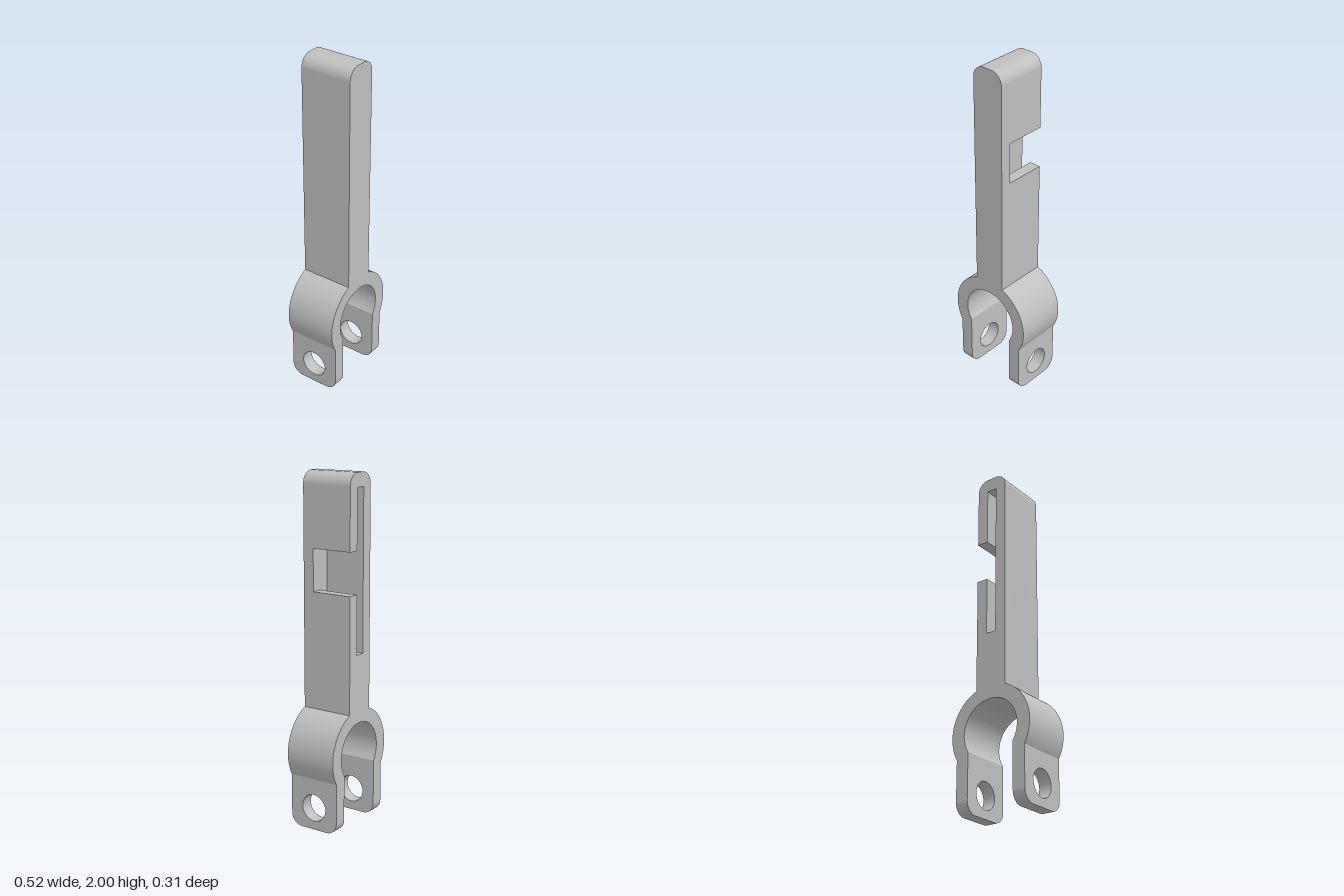
import * as THREE from 'three';
import { toCreasedNormals } from 'three/addons/utils/BufferGeometryUtils.js';

const HALF_DEPTH = 0.155, FLOOR_Z = 0.09;       // overall half depth, floor of the slot
const BAR = 0.097, TOP = 2, CORNER = 0.07;      // bar half width, height, top rounding
const RING_Y = 0.43, OUTER = 0.258, INNER = 0.176;
const LEG_IN = 0.148, LEG_OUT = 0.224, LEG_TOP = 0.302;
const SLOT = 0.03;                              // slot half width

// Outline of bar and ring; the slotted version also has the rear slot and side notch
function forkShape(slotted) {
  const legAngle = Math.atan2(LEG_TOP - RING_Y, LEG_OUT);
  const barAngle = Math.acos(BAR / OUTER);
  const innerAngle = -Math.acos(LEG_IN / INNER);
  const s = new THREE.Shape();
  s.moveTo(LEG_OUT, LEG_TOP);
  s.absarc(0, RING_Y, OUTER, legAngle, barAngle, false);
  if (slotted) {
    const path = [[BAR, 1.34], [SLOT, 1.34], [SLOT, 1.0], [-SLOT, 1.0],
      [-SLOT, 1.92], [SLOT, 1.92], [SLOT, 1.58], [BAR, 1.58]];
    path.forEach(([x, y]) => s.lineTo(x, y));
  }
  s.lineTo(BAR, TOP - CORNER);
  s.absarc(BAR - CORNER, TOP - CORNER, CORNER, 0, Math.PI / 2, false);
  s.absarc(-BAR + CORNER, TOP - CORNER, CORNER, Math.PI / 2, Math.PI, false);
  s.absarc(0, RING_Y, OUTER, Math.PI - barAngle, Math.PI - legAngle, false);
  s.lineTo(-LEG_IN, LEG_TOP);
  s.absarc(0, RING_Y, INNER, Math.PI - innerAngle, innerAngle, true);
  s.lineTo(LEG_IN, LEG_TOP);
  s.closePath();
  return s;
}

// Side profile of a leg: rounded bottom corners and a round pin hole
function legShape() {
  const d = HALF_DEPTH, r = 0.07;
  const s = new THREE.Shape();
  s.moveTo(d, LEG_TOP);
  s.lineTo(-d, LEG_TOP);
  s.lineTo(-d, r);
  s.absarc(-d + r, r, r, Math.PI, Math.PI * 1.5, false);
  s.absarc(d - r, r, r, Math.PI * 1.5, Math.PI * 2, false);
  s.closePath();
  const hole = new THREE.Path();
  hole.absarc(0, 0.13, 0.079, 0, Math.PI * 2, true);
  s.holes.push(hole);
  return s;
}

function extrude(shape, depth) {
  return new THREE.ExtrudeGeometry(shape, { depth, bevelEnabled: false, curveSegments: 32 });
}

export function createModel() {
  const group = new THREE.Group();
  const grey = new THREE.MeshStandardMaterial({ color: 0xbfbfbf });
  grey.name = 'grey';

  const add = (name, geometry) => {
    const mesh = new THREE.Mesh(toCreasedNormals(geometry, 0.5), grey);
    mesh.name = name;
    group.add(mesh);
  };

  // Solid front layer and slotted rear layer of the bar and ring
  add('frontBody', extrude(forkShape(false), HALF_DEPTH - FLOOR_Z).translate(0, 0, FLOOR_Z));
  add('slottedBody', extrude(forkShape(true), HALF_DEPTH + FLOOR_Z).translate(0, 0, -HALF_DEPTH));

  // Pair of drilled legs
  for (const [name, x] of [['leftLeg', LEG_OUT], ['rightLeg', -LEG_IN]]) {
    add(name, extrude(legShape(), LEG_OUT - LEG_IN).rotateY(-Math.PI / 2).translate(x, 0, 0));
  }
  return group;
}
